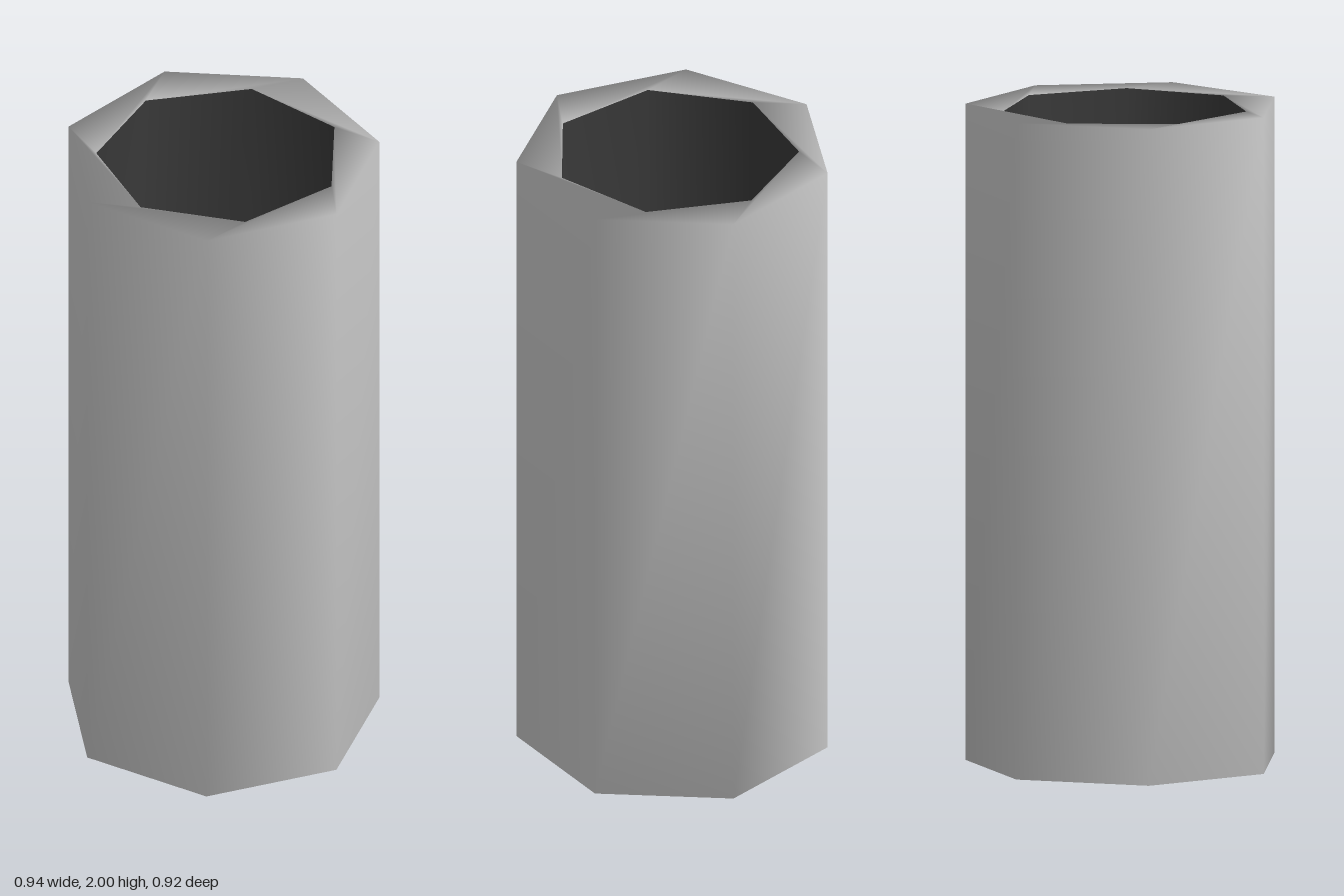
import * as THREE from 'three';

const SIDES = 7;
const CENTRE_Z = 0.024;

export function createModel() {
  const group = new THREE.Group();

  // Cross-sections: outer base, outer top, turned inner mouth, inner floor
  const rings = [
    { r: 0.482, y: 0, turn: 0 },
    { r: 0.482, y: 2, turn: 0 },
    { r: 0.375, y: 1.995, turn: -16.5 },
    { r: 0.375, y: 0.1, turn: -16.5 },
  ];
  const positions = [];
  for (const { r, y, turn } of rings) {
    for (let k = 0; k < SIDES; k++) {
      const a = THREE.MathUtils.degToRad(-90 + turn + (360 * k) / SIDES);
      positions.push(r * Math.cos(a), y, CENTRE_Z + r * Math.sin(a));
    }
  }

  // Band of faces joining ring i to ring i + 1
  const band = (i) => {
    const out = [];
    for (let k = 0; k < SIDES; k++) {
      const n = (k + 1) % SIDES;
      const a = i * SIDES, b = a + SIDES;
      out.push(a + k, b + k, a + n, a + n, b + k, b + n);
    }
    return out;
  };

  // Flat fan closing ring i
  const cap = (i, up) => {
    const out = [], a = i * SIDES;
    for (let k = 1; k < SIDES - 1; k++) {
      out.push(a, a + (up ? k + 1 : k), a + (up ? k : k + 1));
    }
    return out;
  };

  const shell = [...cap(0, false), ...band(0), ...band(1)];
  const liner = [...band(2), ...cap(3, true)];

  // Smooth normals are shared across the whole surface
  const whole = new THREE.BufferGeometry();
  whole.setAttribute('position', new THREE.Float32BufferAttribute(positions, 3));
  whole.setIndex([...shell, ...liner]);
  whole.computeVertexNormals();

  const add = (name, index, color) => {
    const geometry = whole.clone();
    geometry.setIndex(index);
    const material = new THREE.MeshStandardMaterial({ color, side: THREE.DoubleSide });
    const mesh = new THREE.Mesh(geometry, material);
    mesh.name = name;
    group.add(mesh);
  };
  add('outerShell', shell, 0xcccccc);
  add('innerHollow', liner, 0x383838);

  return group;
}
